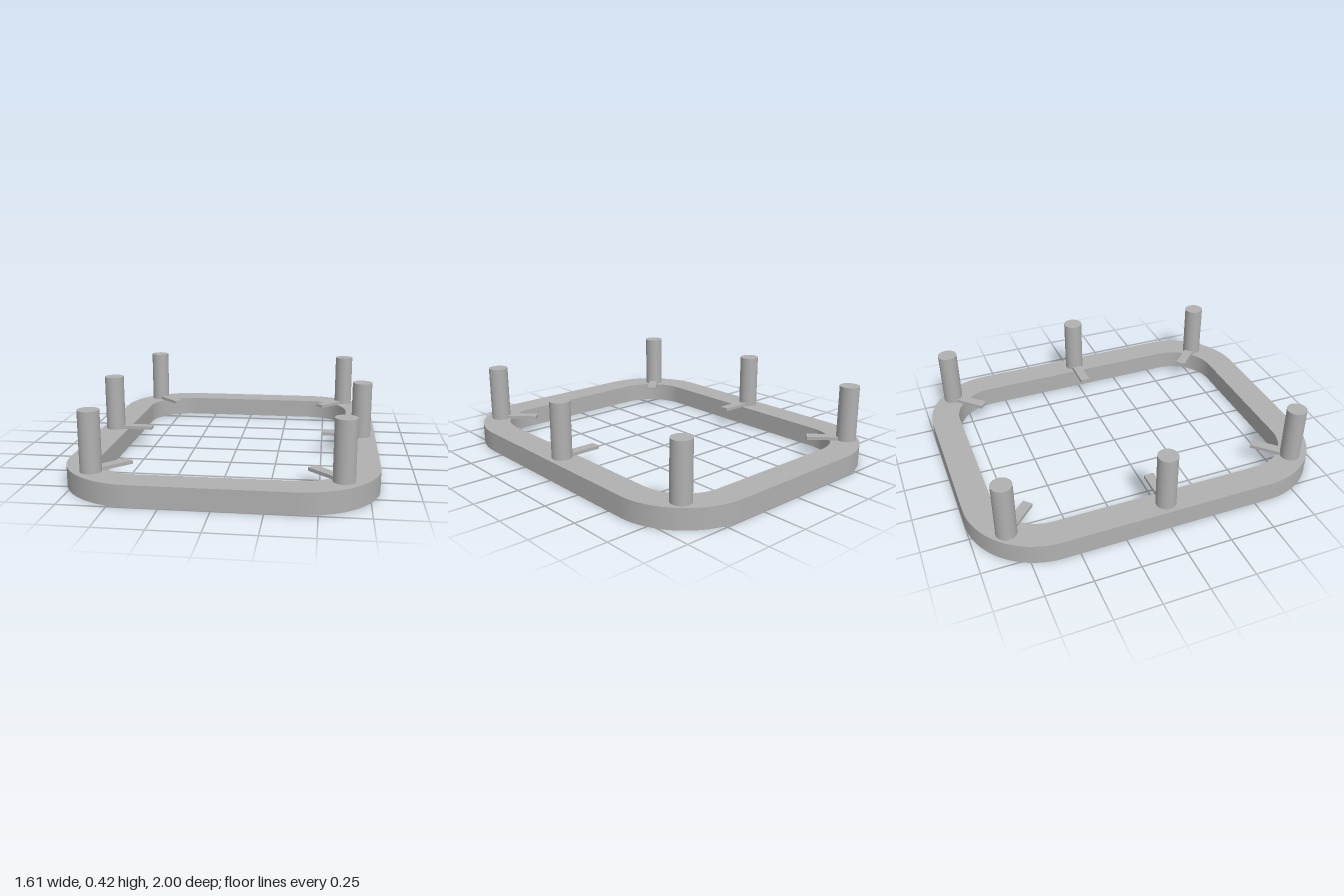
import * as THREE from 'three';

const RING_H = 0.112, POST_TOP = 0.425, POST_R = 0.055;
const TAB_L = 0.222, TAB_W = 0.056, TAB_H = 0.018;

// Traces a rounded rectangle of half sizes hx, hy and corner radius r
function roundedRect(path, hx, hy, r) {
  path.moveTo(hx, -hy + r);
  path.lineTo(hx, hy - r);
  path.absarc(hx - r, hy - r, r, 0, Math.PI / 2);
  path.absarc(-hx + r, hy - r, r, Math.PI / 2, Math.PI);
  path.absarc(-hx + r, -hy + r, r, Math.PI, Math.PI * 1.5);
  path.absarc(hx - r, -hy + r, r, Math.PI * 1.5, Math.PI * 2);
  return path;
}

// Smooth normals around the rounded corners of the ring walls
function smoothWalls(geo, cx, cy) {
  const p = geo.attributes.position, n = geo.attributes.normal;
  for (let i = 0; i < p.count; i++) {
    if (Math.abs(n.getZ(i)) > 0.5) continue;
    const x = p.getX(i), y = p.getY(i);
    const dx = Math.sign(x) * Math.max(Math.abs(x) - cx, 0);
    const dy = Math.sign(y) * Math.max(Math.abs(y) - cy, 0);
    // corner centres are shared by the inner and outer walls
    const v = new THREE.Vector2(
      Math.abs(y) <= cy + 1e-5 ? Math.sign(x) : Math.abs(x) <= cx + 1e-5 ? 0 : dx,
      Math.abs(y) <= cy + 1e-5 ? 0 : dy).normalize();
    const s = v.x * n.getX(i) + v.y * n.getY(i) < 0 ? -1 : 1;
    n.setXYZ(i, v.x * s, v.y * s, 0);
  }
}

export function createModel() {
  const model = new THREE.Group();
  model.name = 'postedFrame';
  const grey = new THREE.MeshStandardMaterial({ color: 0xb0b0b0 });
  grey.name = 'grey';

  // Rounded rectangular base ring
  const outline = roundedRect(new THREE.Shape(), 0.806, 1, 0.41);
  outline.holes.push(roundedRect(new THREE.Path(), 0.648, 0.84, 0.252));
  const ringGeo = new THREE.ExtrudeGeometry(outline, { depth: RING_H, bevelEnabled: false, curveSegments: 20 });
  smoothWalls(ringGeo, 0.396, 0.59);
  ringGeo.rotateX(-Math.PI / 2);
  const ring = new THREE.Mesh(ringGeo, grey);
  ring.name = 'baseRing';
  model.add(ring);

  // Six posts, each with a small tab pointing inward: [name, x, z, tab direction]
  const postGeo = new THREE.CylinderGeometry(POST_R, POST_R, POST_TOP - RING_H, 40);
  postGeo.translate(0, (POST_TOP + RING_H) / 2, 0);
  const tabGeo = new THREE.BoxGeometry(TAB_L, TAB_H, TAB_W);
  tabGeo.translate(TAB_L / 2, RING_H + TAB_H / 2, 0);
  const q = Math.PI / 4;
  const spots = [
    ['backRight', -0.637, -0.83, -q], ['backLeft', 0.633, -0.83, -3 * q],
    ['middleRight', -0.728, 0, 0], ['middleLeft', 0.724, 0, Math.PI],
    ['frontRight', -0.625, 0.816, q], ['frontLeft', 0.618, 0.816, 3 * q],
  ];
  for (const [name, x, z, angle] of spots) {
    const station = new THREE.Group();
    station.name = name + 'Station';
    station.position.set(x, 0, z);
    station.rotation.y = angle;
    const post = new THREE.Mesh(postGeo, grey);
    post.name = name + 'Post';
    const tab = new THREE.Mesh(tabGeo, grey);
    tab.name = name + 'Tab';
    station.add(post, tab);
    model.add(station);
  }
  return model;
}
